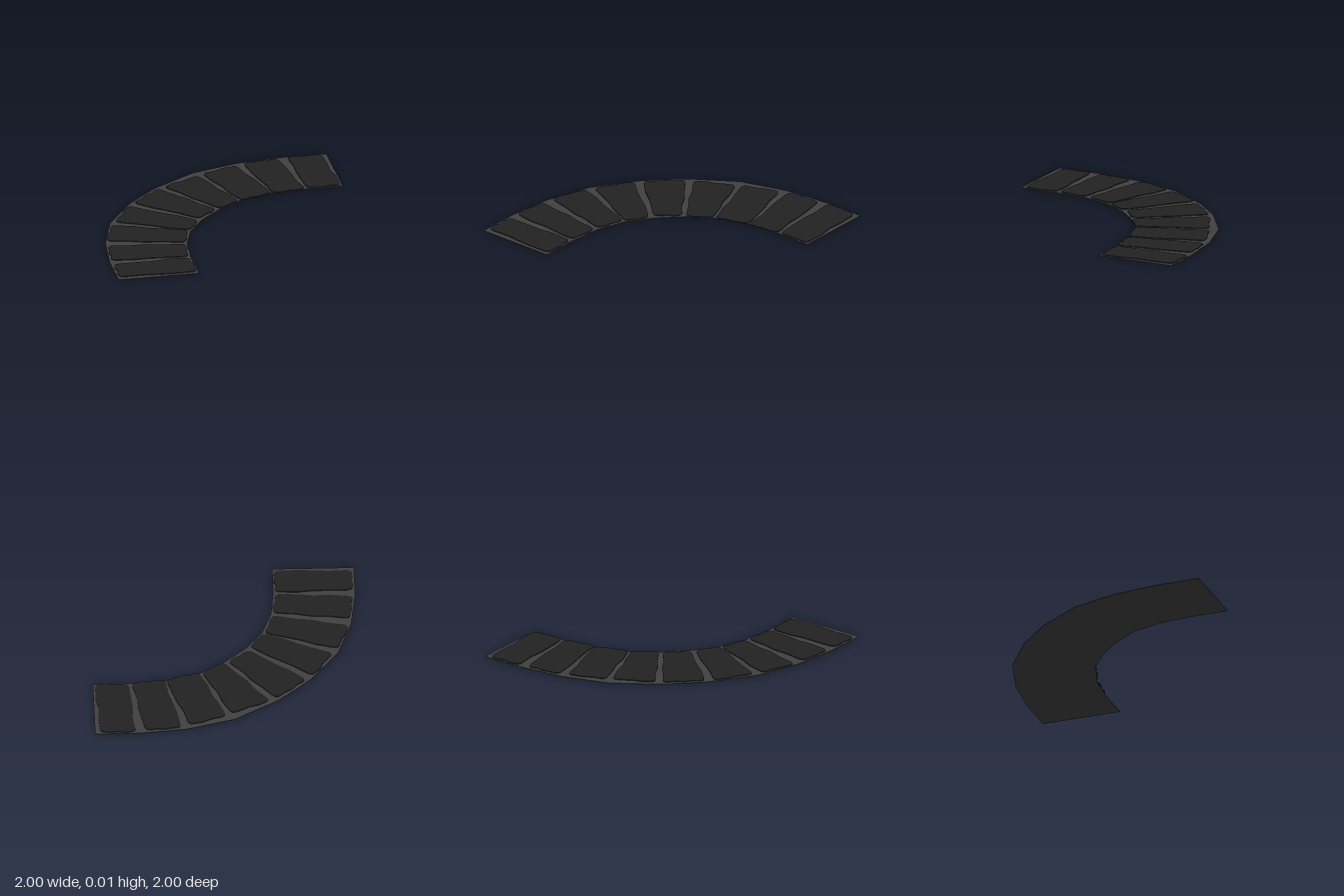
import * as THREE from 'three';

const asphalt = new THREE.MeshStandardMaterial({ color: 0x404040 });
asphalt.name = 'grey bed';
const slate = new THREE.MeshStandardMaterial({ color: 0x222222 });
slate.name = 'dark stone';

// Turn a plan outline (x, -z) into a flat slab between two heights
function slab(shape, bottom, top, material, name) {
  const geometry = new THREE.ExtrudeGeometry(shape, {
    depth: top - bottom, bevelEnabled: false, curveSegments: 5,
  });
  geometry.rotateX(-Math.PI / 2);
  geometry.translate(0, bottom, 0);
  const mesh = new THREE.Mesh(geometry, material);
  mesh.name = name;
  return mesh;
}

const plan = ([x, z]) => new THREE.Vector2(x, -z);

// Four-cornered stone with rounded corners and slightly worn edges
function stoneShape(corners, seed) {
  const p = corners.map(plan);
  const shape = new THREE.Shape();
  const radius = 0.045;
  p.forEach((corner, i) => {
    const prev = p[(i + 3) % 4], next = p[(i + 1) % 4];
    const along = next.clone().sub(corner);
    const length = along.length();
    along.divideScalar(length);
    const normal = new THREE.Vector2(-along.y, along.x);
    const start = corner.clone().add(prev.clone().sub(corner).setLength(radius));
    const end = corner.clone().addScaledVector(along, radius);
    if (i === 0) shape.moveTo(start.x, start.y);
    else shape.lineTo(start.x, start.y);
    shape.quadraticCurveTo(corner.x, corner.y, end.x, end.y);
    for (const t of [0.3, 0.5, 0.7]) {
      const wear = 0.008 * Math.sin(seed * 2.3 + i * 1.9 + t * 11);
      const q = corner.clone().addScaledVector(along, length * t).addScaledVector(normal, wear);
      shape.lineTo(q.x, q.y);
    }
  });
  shape.closePath();
  return shape;
}

export function createModel() {
  const group = new THREE.Group();
  group.name = 'curvedPath';

  // Half of each kerb line, mirrored across the diagonal of the bend
  const mirror = (half) => half.map(([x, z]) => [z, x]).reverse();
  const outer = [[-1, 1], [-1, 0.67], [-0.96, 0.31], [-0.85, -0.05], [-0.63, -0.38]];
  const inner = [[-0.385, 1], [-0.385, 0.71], [-0.36, 0.44], [-0.285, 0.21], [-0.16, 0.025]];
  const outline = [
    ...outer, [-0.507, -0.507], ...mirror(outer),
    ...[...inner, ...mirror(inner)].reverse(),
  ];
  group.add(slab(new THREE.Shape(outline.map(plan)), 0, 0.005, asphalt, 'pathBed'));

  // Paving stones along the bend: outer-far, inner-far, inner-near, outer-near
  const stones = [
    [[-0.98, 0.72], [-0.4, 0.71], [-0.395, 0.97], [-0.985, 0.96]],
    [[-0.95, 0.37], [-0.375, 0.455], [-0.4, 0.685], [-0.98, 0.64]],
    [[-0.85, 0], [-0.305, 0.205], [-0.37, 0.42], [-0.94, 0.28]],
    [[-0.65, -0.33], [-0.19, 0.04], [-0.29, 0.2], [-0.81, -0.06]],
    [[-0.37, -0.6], [-0.02, -0.14], [-0.18, 0], [-0.6, -0.38]],
    [[-0.03, -0.78], [0.18, -0.26], [0.01, -0.15], [-0.32, -0.63]],
    [[0.29, -0.91], [0.45, -0.355], [0.2, -0.27], [0.01, -0.81]],
    [[0.62, -0.97], [0.71, -0.385], [0.46, -0.35], [0.35, -0.94]],
    [[0.96, -0.985], [0.985, -0.395], [0.73, -0.395], [0.695, -0.985]],
  ];
  stones.forEach((corners, i) => {
    group.add(slab(stoneShape(corners, i), 0.004, 0.011, slate, `pavingStone${i + 1}`));
  });
  return group;
}
